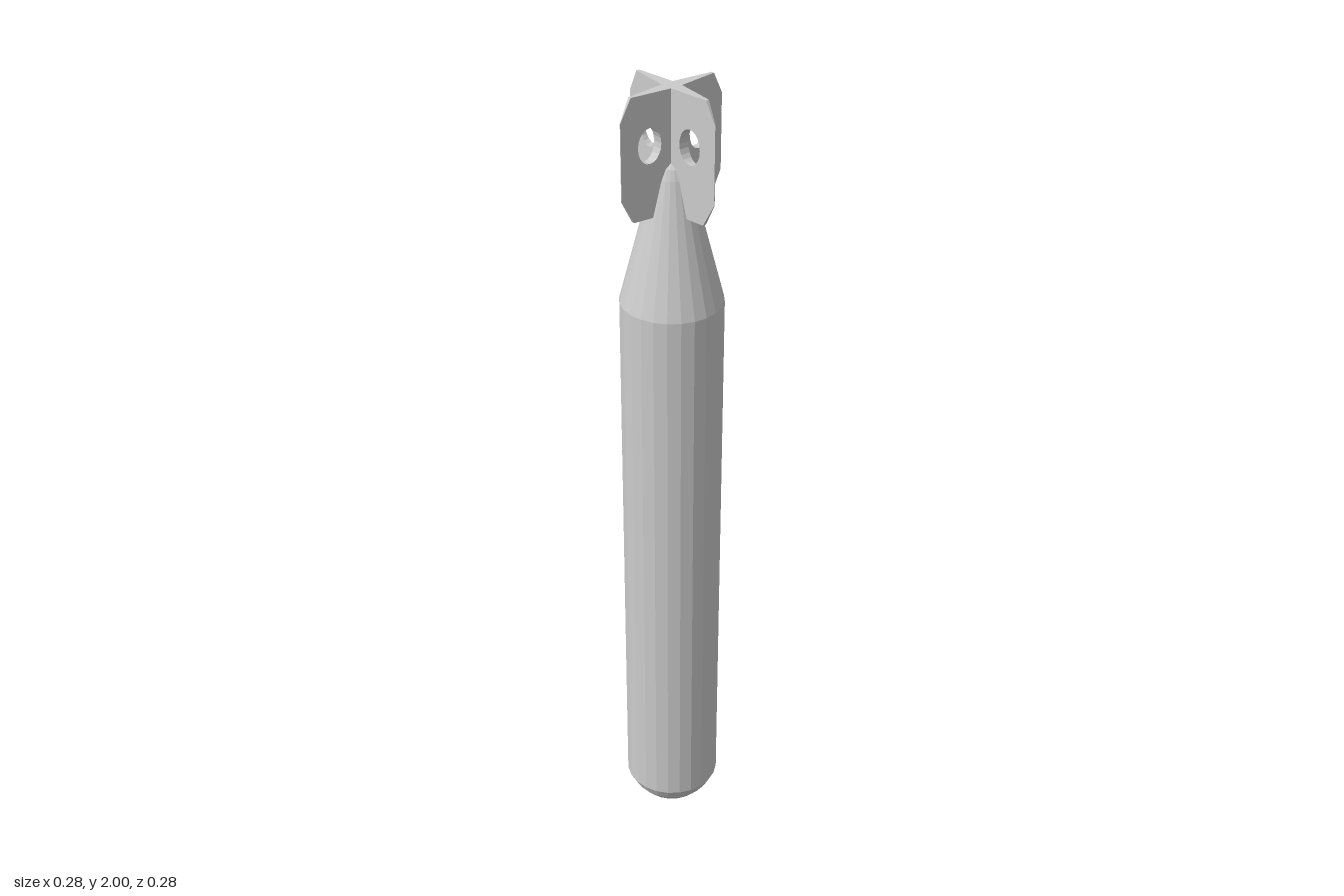
import * as THREE from 'three';

const CORE = 0.015; // half width of the square post where the fins meet
const TIP = 0.139;  // outer reach of each fin

// Fin plate with a hole, tapering from the core to a thin outer edge
function finGeometry() {
  const shape = new THREE.Shape([
    [CORE, 1.72], [0.108, 1.72], [TIP, 1.775], [TIP, 1.95], [0.113, 2], [CORE, 2],
  ].map(([x, y]) => new THREE.Vector2(x, y)));
  const hole = new THREE.Path();
  hole.absellipse(0.068, 1.885, 0.029, 0.04, 0, Math.PI * 2, true);
  shape.holes.push(hole);

  const geo = new THREE.ExtrudeGeometry(shape, { depth: 1, bevelEnabled: false, curveSegments: 10 });
  const pos = geo.attributes.position;
  for (let i = 0; i < pos.count; i++) {
    const k = (pos.getX(i) - CORE) / (TIP - CORE);
    const half = THREE.MathUtils.lerp(CORE, 0.0008, k);
    pos.setZ(i, (pos.getZ(i) - 0.5) * 2 * half);
  }
  geo.computeVertexNormals();
  return geo;
}

export function createModel() {
  const group = new THREE.Group();
  const material = new THREE.MeshStandardMaterial({ color: 0xcccccc, flatShading: true });
  const add = (name, geometry) => {
    const mesh = new THREE.Mesh(geometry, material);
    mesh.name = name;
    group.add(mesh);
    return mesh;
  };

  // Rounded nose, straight casing and tapered tail in one faceted profile
  const profile = [
    [0, 0], [0.03, 0.005], [0.058, 0.017], [0.084, 0.037], [0.104, 0.062], [0.119, 0.092],
    [0.119, 1.5], [0.041, 1.8], [0.032, 1.823], [0.018, 1.838], [0, 1.843],
  ].map(([r, y]) => new THREE.Vector2(r, y));
  add('body', new THREE.LatheGeometry(profile, 24));

  // Square post joining the fins
  add('finCore', new THREE.BoxGeometry(CORE * 2, 0.28, CORE * 2)).position.y = 1.86;

  // Four fins around the tail
  const fin = finGeometry();
  for (let i = 0; i < 4; i++) add('tailFin' + (i + 1), fin).rotation.y = i * Math.PI / 2;

  return group;
}
